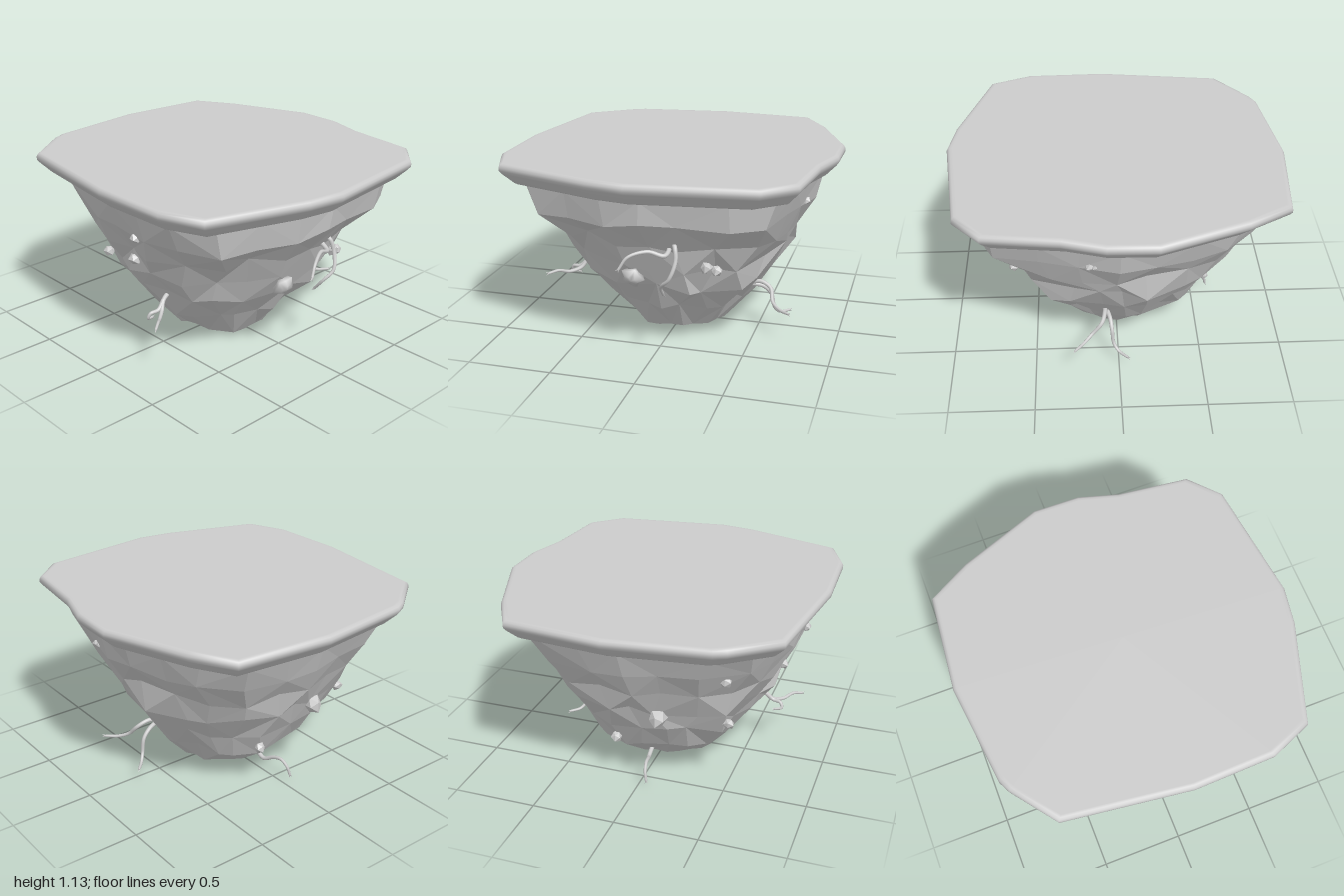
import * as THREE from 'three';

const grey = new THREE.MeshStandardMaterial({ color: 0xcccccc });
const facet = new THREE.MeshStandardMaterial({ color: 0xcccccc, flatShading: true });
const V = (p) => new THREE.Vector3(...p);

// Irregular plan of the ground slab, as [x, z]
const outline = [
  [0.05, -1], [0.63, -0.945], [0.77, -0.7], [0.96, -0.2], [0.955, 0.08], [0.885, 0.32],
  [0.835, 0.745], [0.66, 0.905], [-0.05, 0.995], [-0.27, 0.96], [-0.85, 0.775], [-0.95, 0.53],
  [-0.963, 0.05], [-0.865, -0.7], [-0.61, -0.895], [-0.54, -0.93],
];

function seeded(seed) {
  return () => {
    seed = (seed * 16807) % 2147483647;
    return seed / 2147483647;
  };
}

// Distance from the centre to the outline in direction a
function outlineRadius(a) {
  const dx = Math.cos(a), dz = Math.sin(a);
  for (let i = 0; i < outline.length; i++) {
    const [x, z] = outline[i], [x2, z2] = outline[(i + 1) % outline.length];
    const ex = x2 - x, ez = z2 - z, det = dx * ez - dz * ex;
    const t = (x * ez - z * ex) / det, u = (x * dz - z * dx) / det;
    if (t > 0 && u >= 0 && u <= 1) return t;
  }
  return 0.95;
}

// Skin over closed rings listed from bottom to top
function loft(rings) {
  const n = rings[0].length, index = [];
  for (let i = 0; i < rings.length - 1; i++) {
    for (let j = 0; j < n; j++) {
      const a = i * n + j, b = i * n + (j + 1) % n;
      if ((i + j) % 2) index.push(a, a + n, b, b, a + n, b + n);
      else index.push(a, b + n, b, a, a + n, b + n);
    }
  }
  const geo = new THREE.BufferGeometry();
  geo.setAttribute('position', new THREE.Float32BufferAttribute(rings.flat(2), 3));
  geo.setIndex(index);
  geo.computeVertexNormals();
  return geo;
}

function add(parent, name, geo, mat) {
  const mesh = new THREE.Mesh(geo, mat);
  mesh.name = name;
  parent.add(mesh);
  return mesh;
}

// Slab with a rounded upper rim and a bevelled underside: [scale, y]
function slabGeometry() {
  const profile = [
    [0, 1], [0.89, 1], [0.91, 1], [0.925, 1.01], [0.985, 1.07], [1, 1.09],
    [1, 1.108], [0.993, 1.123], [0.98, 1.13], [0.965, 1.13], [0, 1.13],
  ];
  return loft(profile.map(([s, y]) => outline.map(([x, z]) => [x * s, y, z * s])));
}

// Faceted rock: [y, reach, how closely it follows the outline, z shift, roughness]
function rockGeometry() {
  const rand = seeded(4711), sides = 24;
  const levels = [
    [0.0, 0, 0, 0, 0], [0.015, 0.16, 0, 0, 0.15], [0.05, 0.29, 0, 0, 0.4],
    [0.23, 0.46, 0.05, -0.03, 0.9], [0.4, 0.59, 0.15, -0.02, 1], [0.56, 0.665, 0.3, -0.02, 1],
    [0.7, 0.735, 0.55, -0.01, 0.9], [0.85, 0.815, 0.85, 0.015, 0.6], [1.01, 0.86, 1, 0, 0],
  ];
  return loft(levels.map(([y, reach, follow, dz, rough]) =>
    Array.from({ length: sides }, (_, j) => {
      const a = ((j + (rand() - 0.5) * 0.6 * rough) / sides) * Math.PI * 2;
      const r = reach * (1 + follow * (outlineRadius(a) / 0.955 - 1)) + (rand() - 0.53) * 0.07 * rough;
      return [Math.cos(a) * r, y + (rand() - 0.5) * 0.08 * rough, Math.sin(a) * r + dz];
    })));
}

// Small uneven stone
function stoneGeometry(r, seed) {
  const geo = new THREE.IcosahedronGeometry(r, 0);
  const pos = geo.attributes.position;
  for (let i = 0; i < pos.count; i++) {
    const x = pos.getX(i), y = pos.getY(i), z = pos.getZ(i);
    const k = 1 + 0.15 * Math.sin(Math.round((x * 3 + y * 5 + z * 7) / r * 50) / 50 * 4 + seed);
    pos.setXYZ(i, x * k, y * k, z * k);
  }
  geo.computeVertexNormals();
  return geo;
}

// Five-pointed domed stone
function starGeometry(r) {
  const shape = [];
  for (let j = 0; j < 10; j++) shape.push([j * Math.PI / 5 + 0.2, j % 2 ? r * 0.68 : r]);
  const rings = [[0, -0.4], [0.75, -0.4], [1, 0], [0.6, 0.35], [0, 0.42]];
  return loft(rings.map(([s, h]) => shape.map(([a, q]) => [Math.cos(a) * q * s, h * r, Math.sin(a) * q * s])));
}

// Tapering root with a forked tip
function addRoot(parent, points) {
  const root = new THREE.Group();
  root.name = 'root';
  parent.add(root);
  const curve = new THREE.CatmullRomCurve3(points.map(V));
  const steps = 28, sides = 8;
  const geo = new THREE.TubeGeometry(curve, steps, 0.0135, sides);
  const pos = geo.attributes.position;
  for (let i = 0; i < pos.count; i++) {
    const t = Math.floor(i / (sides + 1)) / steps;
    const c = curve.getPointAt(t);
    const p = new THREE.Vector3().fromBufferAttribute(pos, i).sub(c).multiplyScalar(1.1 - 0.5 * t).add(c);
    pos.setXYZ(i, p.x, p.y, p.z);
  }
  add(root, 'rootStrand', geo, grey);
  const end = curve.getPointAt(1), dir = curve.getTangentAt(1);
  const across = new THREE.Vector3(0, 0, 1).cross(dir).normalize();
  for (const side of [-1, 1]) {
    const prongDir = dir.clone().addScaledVector(across, side * 0.5).normalize();
    const prong = add(root, 'rootTip', new THREE.ConeGeometry(0.007, 0.028, 6), grey);
    prong.position.copy(end).addScaledVector(prongDir, 0.01);
    prong.quaternion.setFromUnitVectors(new THREE.Vector3(0, 1, 0), prongDir);
  }
}

export function createModel() {
  const model = new THREE.Group();
  model.name = 'floatingIsland';
  add(model, 'groundSlab', slabGeometry(), grey);
  add(model, 'rock', rockGeometry(), facet);

  // Embedded stones: x, y, z, radius
  const stones = [
    [0.31, 0.58, 0.63, 0.038], [0.365, 0.56, 0.61, 0.034], [0.79, 0.875, 0.17, 0.025],
    [0.79, 0.87, 0.14, 0.019], [0.38, 0.18, -0.07, 0.034], [0.15, 0.28, -0.55, 0.034],
    [-0.54, 0.82, -0.65, 0.038], [-0.52, 0.46, -0.49, 0.034], [-0.71, 0.63, 0.02, 0.036],
    [-0.81, 0.83, 0.16, 0.032], [-0.15, 0.52, -0.67, 0.055],
  ];
  stones.forEach(([x, y, z, r], i) => {
    add(model, 'stone', stoneGeometry(r, i), facet).position.set(x, y, z);
  });

  // Larger star-shaped stone lying against the front
  const star = add(model, 'starStone', starGeometry(0.075), grey);
  star.position.set(-0.12, 0.48, 0.645);
  star.quaternion.setFromUnitVectors(new THREE.Vector3(0, 1, 0), V([-0.06, -0.35, 0.65]).normalize());

  const roots = [
    [[0.12, 0.73, 0.66], [0.11, 0.675, 0.76], [0.02, 0.7, 0.79], [-0.08, 0.675, 0.84], [-0.125, 0.61, 0.86]],
    [[0.12, 0.73, 0.66], [0.155, 0.73, 0.73], [0.17, 0.65, 0.76], [0.14, 0.55, 0.79], [0.085, 0.49, 0.76], [0.08, 0.42, 0.7]],
    [[0.43, 0.29, 0.08], [0.52, 0.31, 0.08], [0.585, 0.28, 0.1], [0.61, 0.215, 0.16], [0.66, 0.19, 0.21], [0.72, 0.19, 0.26]],
    [[0.43, 0.29, 0.08], [0.53, 0.27, 0.05], [0.58, 0.22, 0.04], [0.6, 0.13, 0.03], [0.63, 0.09, 0], [0.68, 0.085, -0.05]],
    [[-0.52, 0.39, 0.1], [-0.59, 0.36, 0.12], [-0.63, 0.31, 0.15], [-0.69, 0.295, 0.2], [-0.74, 0.315, 0.25], [-0.79, 0.305, 0.29]],
    [[-0.59, 0.36, 0.12], [-0.64, 0.315, 0.13], [-0.69, 0.305, 0.12], [-0.7, 0.275, 0.11], [-0.66, 0.265, 0.1]],
    [[0, 0.13, -0.32], [0, 0.085, -0.41], [-0.02, 0.115, -0.48], [-0.03, 0.125, -0.54], [-0.04, 0.09, -0.585], [-0.05, 0.04, -0.6]],
  ];
  roots.forEach((points) => addRoot(model, points));
  return model;
}
